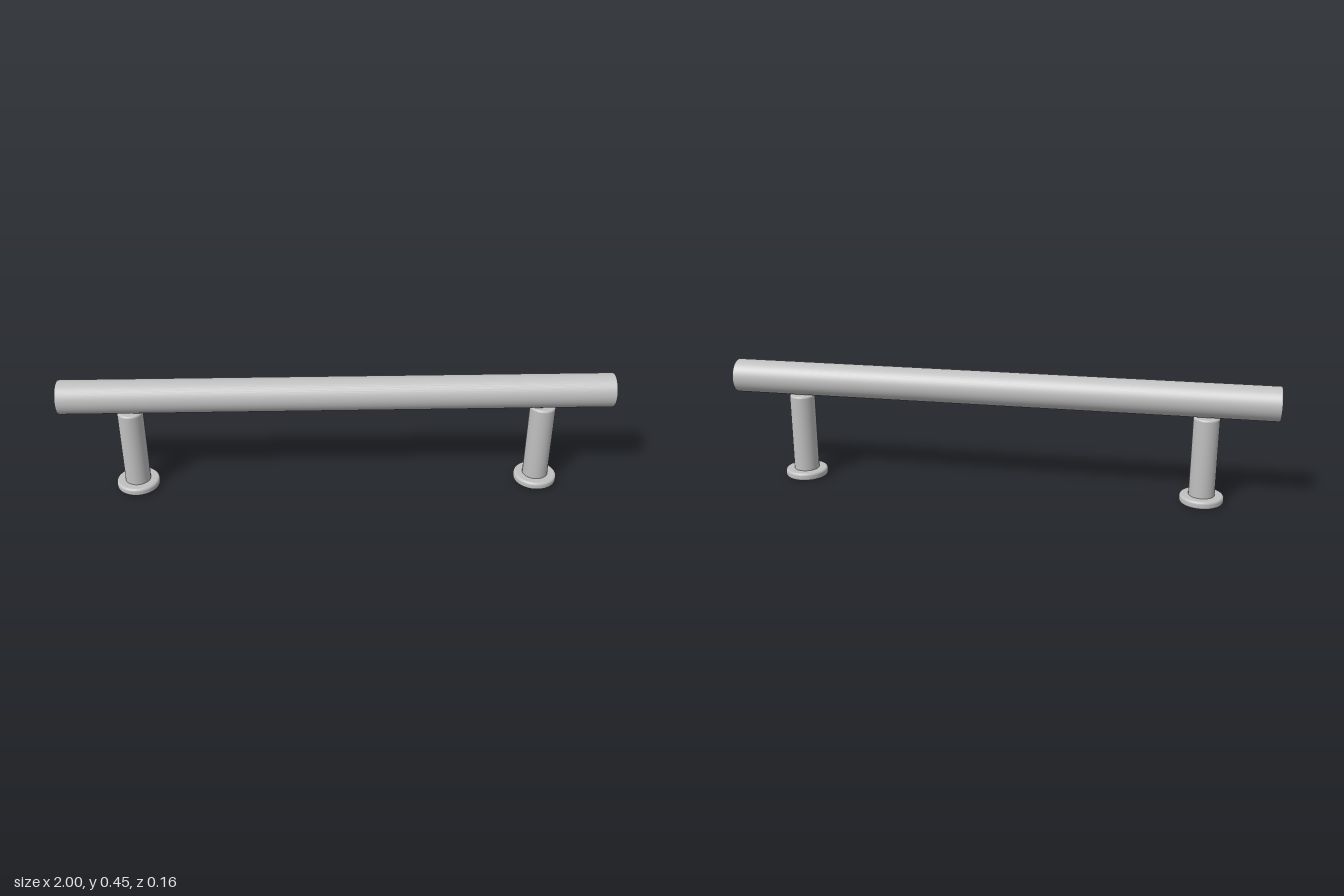
import * as THREE from 'three';

// Solid round rod from y = 0 to y = height, with rounded rims
function roundedRod(radius, height, bevel, segments = 64) {
  const points = [new THREE.Vector2(0, 0)];
  const steps = 5;
  for (const [centerY, start] of [[bevel, -Math.PI / 2], [height - bevel, 0]]) {
    for (let i = 0; i <= steps; i++) {
      const a = start + (i / steps) * Math.PI / 2;
      points.push(new THREE.Vector2(radius - bevel + bevel * Math.cos(a), centerY + bevel * Math.sin(a)));
    }
  }
  points.push(new THREE.Vector2(0, height));
  const geometry = new THREE.LatheGeometry(points, segments);
  geometry.normalizeNormals();
  return geometry;
}

export function createModel() {
  const model = new THREE.Group();
  model.name = 'barHandle';
  const metal = new THREE.MeshStandardMaterial({ color: 0xc0c0c0 });
  metal.name = 'brushed metal';

  const add = (parent, name, geometry) => {
    const mesh = new THREE.Mesh(geometry, metal);
    mesh.name = name;
    parent.add(mesh);
    return mesh;
  };

  // Horizontal grip bar
  const bar = add(model, 'gripBar', roundedRod(0.062, 2, 0.006));
  bar.rotation.z = -Math.PI / 2;
  bar.position.set(-1, 0.386, 0);

  // Two standoffs, each a post on a round foot
  const postGeometry = roundedRod(0.047, 0.305, 0.008);
  const footGeometry = roundedRod(0.08, 0.03, 0.01);
  for (const [name, x] of [['leftStandoff', 0.75], ['rightStandoff', -0.75]]) {
    const standoff = new THREE.Group();
    standoff.name = name;
    standoff.position.x = x;
    add(standoff, 'post', postGeometry).position.y = 0.02;
    add(standoff, 'foot', footGeometry);
    model.add(standoff);
  }
  return model;
}
